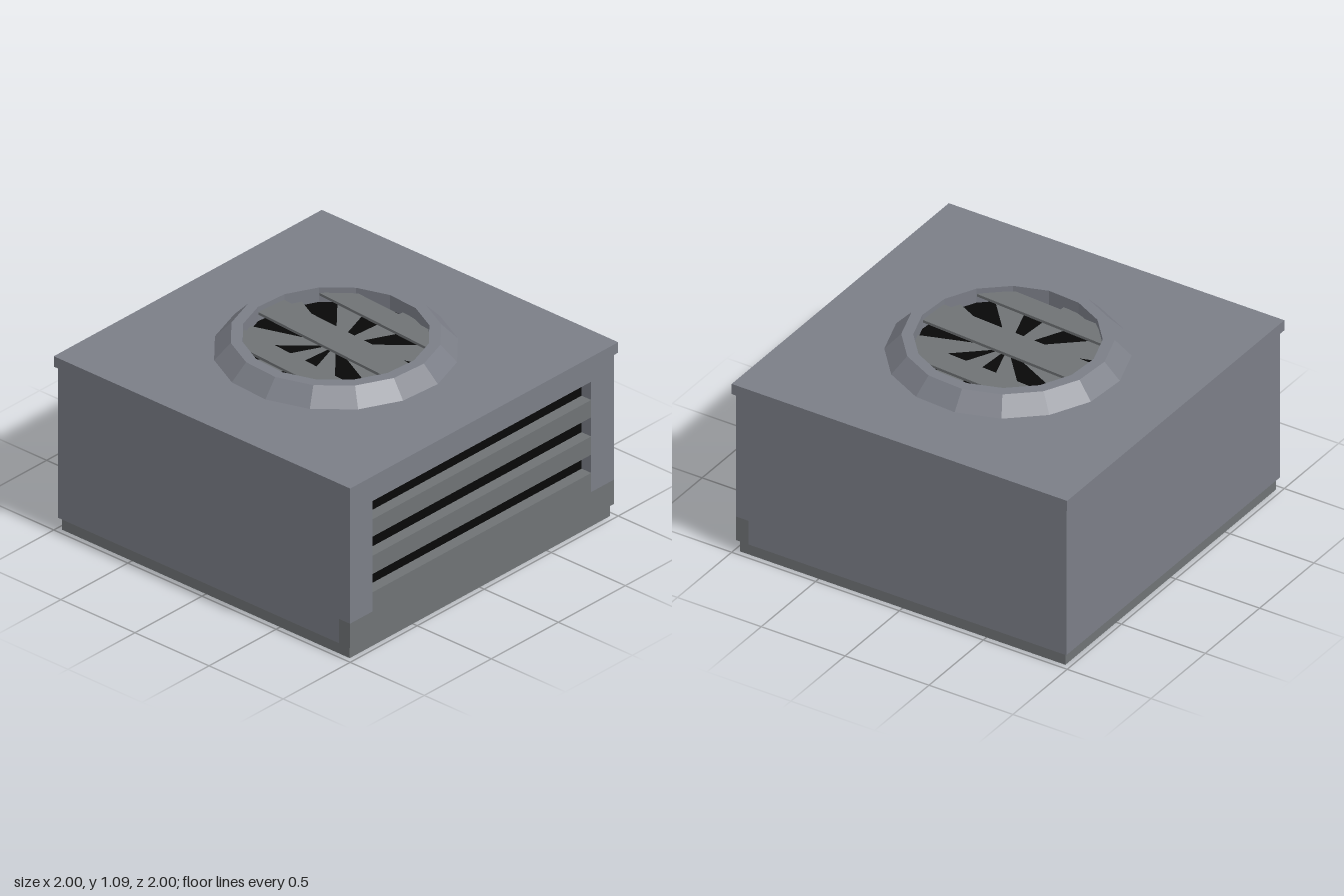
import * as THREE from 'three';

const casing = new THREE.MeshStandardMaterial({ color: 0x7b7e87, flatShading: true, side: THREE.DoubleSide });
const metal = new THREE.MeshStandardMaterial({ color: 0x6f7375, flatShading: true, side: THREE.DoubleSide });
const dark = new THREE.MeshStandardMaterial({ color: 0x080808 });
const TURN = THREE.MathUtils.degToRad(7.4); // rotation of the fan assembly

function add(parent, name, geometry, material) {
  const mesh = new THREE.Mesh(geometry, material);
  mesh.name = name;
  parent.add(mesh);
  return mesh;
}

// Box given by its minimum and maximum corners
function box(parent, name, material, [x0, y0, z0], [x1, y1, z1]) {
  const mesh = add(parent, name, new THREE.BoxGeometry(x1 - x0, y1 - y0, z1 - z0), material);
  mesh.position.set((x0 + x1) / 2, (y0 + y1) / 2, (z0 + z1) / 2);
  return mesh;
}

export function createModel() {
  const model = new THREE.Group();
  model.name = 'rooftopVentUnit';

  // Plinth, housing and lid
  const S = 0.985, BACK = 0.92, IN = 0.815;
  box(model, 'plinth', metal, [-0.97, 0, -0.97], [0.97, 0.07, 0.97]);
  box(model, 'housing', casing, [-S, 0.07, -S], [S, 0.94, BACK - 0.01]);
  box(model, 'lid', casing, [-1, 0.94, -1], [1, 1, 1]);

  // Front grille: dark backing, frame and horizontal slats
  const grille = new THREE.Group();
  grille.name = 'frontGrille';
  model.add(grille);
  box(grille, 'grilleBacking', dark, [-IN, 0.3, BACK - 0.01], [IN, 0.86, BACK]);
  box(grille, 'lowerPanel', metal, [-S, 0.07, BACK - 0.01], [S, 0.21, S]);
  for (const s of [-1, 1]) {
    const xs = [s * IN, s * S].sort((a, b) => a - b);
    box(grille, 'sidePost', casing, [xs[0], 0.21, BACK - 0.01], [xs[1], 0.94, S]);
  }
  box(grille, 'topRail', casing, [-IN, 0.845, BACK - 0.01], [IN, 0.94, S]);
  for (const [y0, y1] of [[0.21, 0.32], [0.425, 0.53], [0.64, 0.74]])
    box(grille, 'slat', metal, [-IN, y0, BACK - 0.01], [IN, y1, S]);

  // Fan: sixteen-sided sloped collar around the opening
  const fan = new THREE.Group();
  fan.name = 'fan';
  fan.position.y = 1;
  model.add(fan);
  const profile = [[0.475, 0], [0.475, 0.09], [0.535, 0.09], [0.62, 0]]
    .reverse().map(([r, y]) => new THREE.Vector2(r, y));
  add(fan, 'fanCollar', new THREE.LatheGeometry(profile, 16, TURN), casing);
  const well = add(fan, 'fanWell', new THREE.CylinderGeometry(0.478, 0.478, 0.006, 16, 1, false, TURN), dark);
  well.position.y = 0.004;

  // Eight wedge-shaped blades
  for (let i = 0; i < 8; i++) {
    const start = TURN + Math.PI / 16 + (Math.PI / 4) * i + Math.PI / 16 - Math.PI / 16;
    const blade = add(fan, 'fanBlade',
      new THREE.CylinderGeometry(0.47, 0.47, 0.008, 2, 1, false, start, Math.PI / 8), metal);
    blade.position.y = 0.024;
  }

  // Three guard bars across the opening, cut to the collar's inner edge
  const guard = new THREE.Group();
  guard.name = 'guardBars';
  guard.rotation.y = -THREE.MathUtils.degToRad(3.7);
  guard.position.y = 0.045;
  fan.add(guard);
  for (const [x0, x1] of [[-0.4, -0.265], [-0.09, 0.09], [0.265, 0.4]]) {
    const end = (x) => Math.sqrt(0.472 ** 2 - x * x);
    const xm = (x0 + x1) / 2;
    const outline = new THREE.Shape([
      [x0, -end(x0)], [xm, -end(xm)], [x1, -end(x1)],
      [x1, end(x1)], [xm, end(xm)], [x0, end(x0)],
    ].map(([x, y]) => new THREE.Vector2(x, y)));
    const bar = new THREE.ExtrudeGeometry(outline, { depth: 0.015, bevelEnabled: false });
    add(guard, 'guardBar', bar.rotateX(-Math.PI / 2), metal);
  }
  return model;
}
